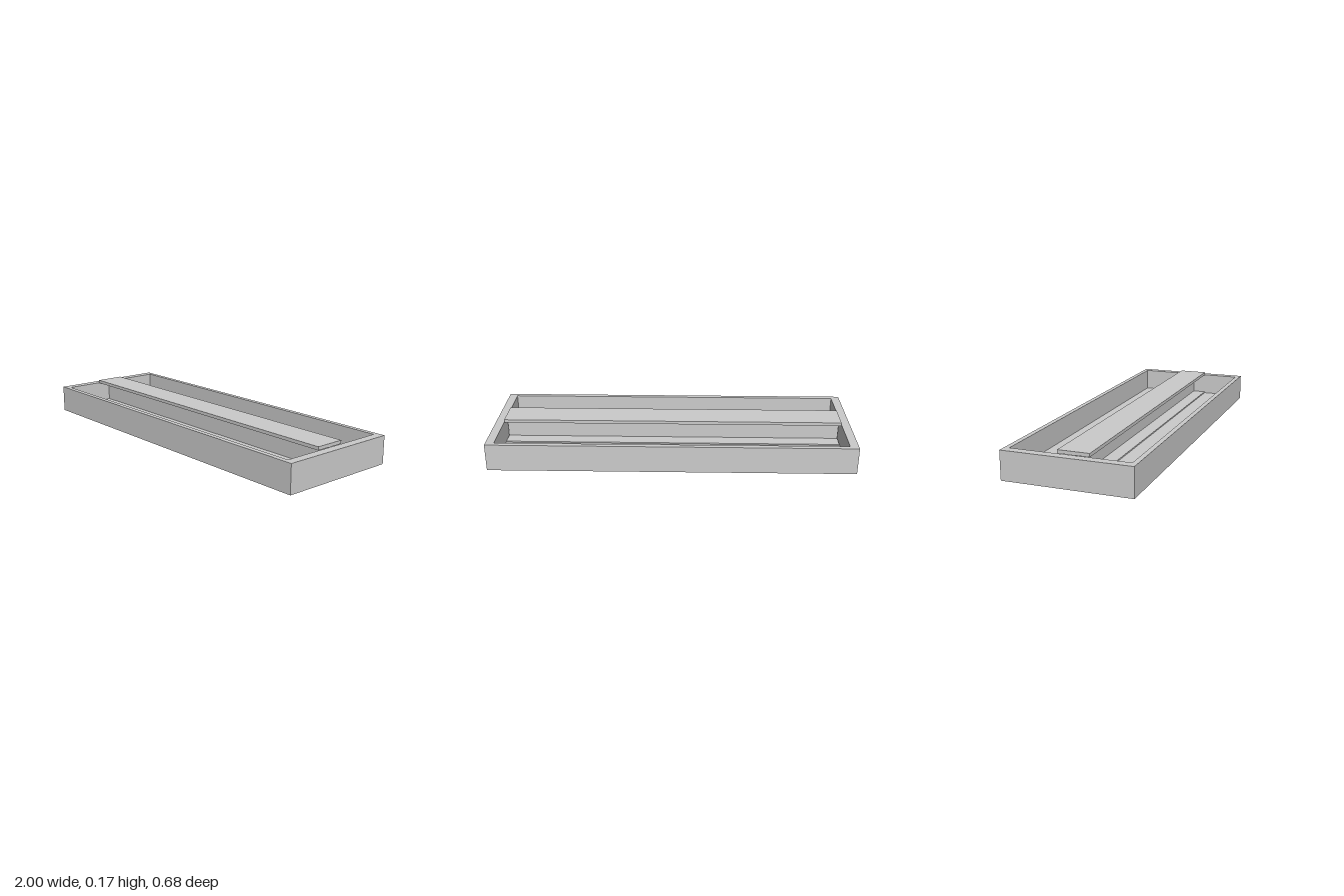
import * as THREE from 'three';

const material = new THREE.MeshStandardMaterial({ color: 0xcccccc, flatShading: true, side: THREE.DoubleSide });

const W = 2, D = 0.68, H = 0.153;      // outer tray
const IW = 1.906, ID = 0.626;          // opening
const FLOOR = 0.028;
const BEAM_Z = 0.02, BEAM_L = 1.9;

function add(parent, name, geometry, x = 0, y = 0, z = 0) {
  const mesh = new THREE.Mesh(geometry, material);
  mesh.name = name;
  mesh.position.set(x, y, z);
  parent.add(mesh);
  return mesh;
}

// Four upright sheets around a rectangle, facing out (or in)
function addWalls(parent, name, w, d, y0, y1, inward) {
  const walls = new THREE.Group();
  walls.name = name;
  for (let i = 0; i < 4; i++) {
    const angle = i * Math.PI / 2;
    const [len, dist] = i % 2 ? [d, w / 2] : [w, d / 2];
    const wall = add(walls, 'wall', new THREE.PlaneGeometry(len, y1 - y0),
      Math.sin(angle) * dist, (y0 + y1) / 2, Math.cos(angle) * dist);
    wall.rotation.y = angle + (inward ? Math.PI : 0);
  }
  parent.add(walls);
}

function rectangle(w, d, Path) {
  return new Path([[-1, -1], [1, -1], [1, 1], [-1, 1]]
    .map(([x, y]) => new THREE.Vector2(x * w / 2, y * d / 2)));
}

export function createModel() {
  const model = new THREE.Group();
  model.name = 'tray';

  // Double-walled tray, open underneath
  addWalls(model, 'outerWalls', W, D, 0, H, false);
  addWalls(model, 'innerWalls', IW, ID, FLOOR, H, true);
  const rim = rectangle(W, D, THREE.Shape);
  rim.holes.push(rectangle(IW, ID, THREE.Path));
  add(model, 'rim', new THREE.ShapeGeometry(rim).rotateX(-Math.PI / 2), 0, H, 0);
  add(model, 'floor', new THREE.PlaneGeometry(IW, ID).rotateX(-Math.PI / 2), 0, FLOOR, 0);

  // Lengthwise I-beam: two flanges joined by a thin web
  const beam = new THREE.Group();
  beam.name = 'beam';
  const flange = new THREE.BoxGeometry(BEAM_L, 0.018, 0.166);
  add(beam, 'topFlange', flange, 0, 0.162, BEAM_Z);
  add(beam, 'bottomFlange', flange, 0, 0.026, BEAM_Z);
  add(beam, 'web', new THREE.BoxGeometry(BEAM_L, 0.118, 0.014), 0, 0.094, BEAM_Z);
  model.add(beam);

  return model;
}
